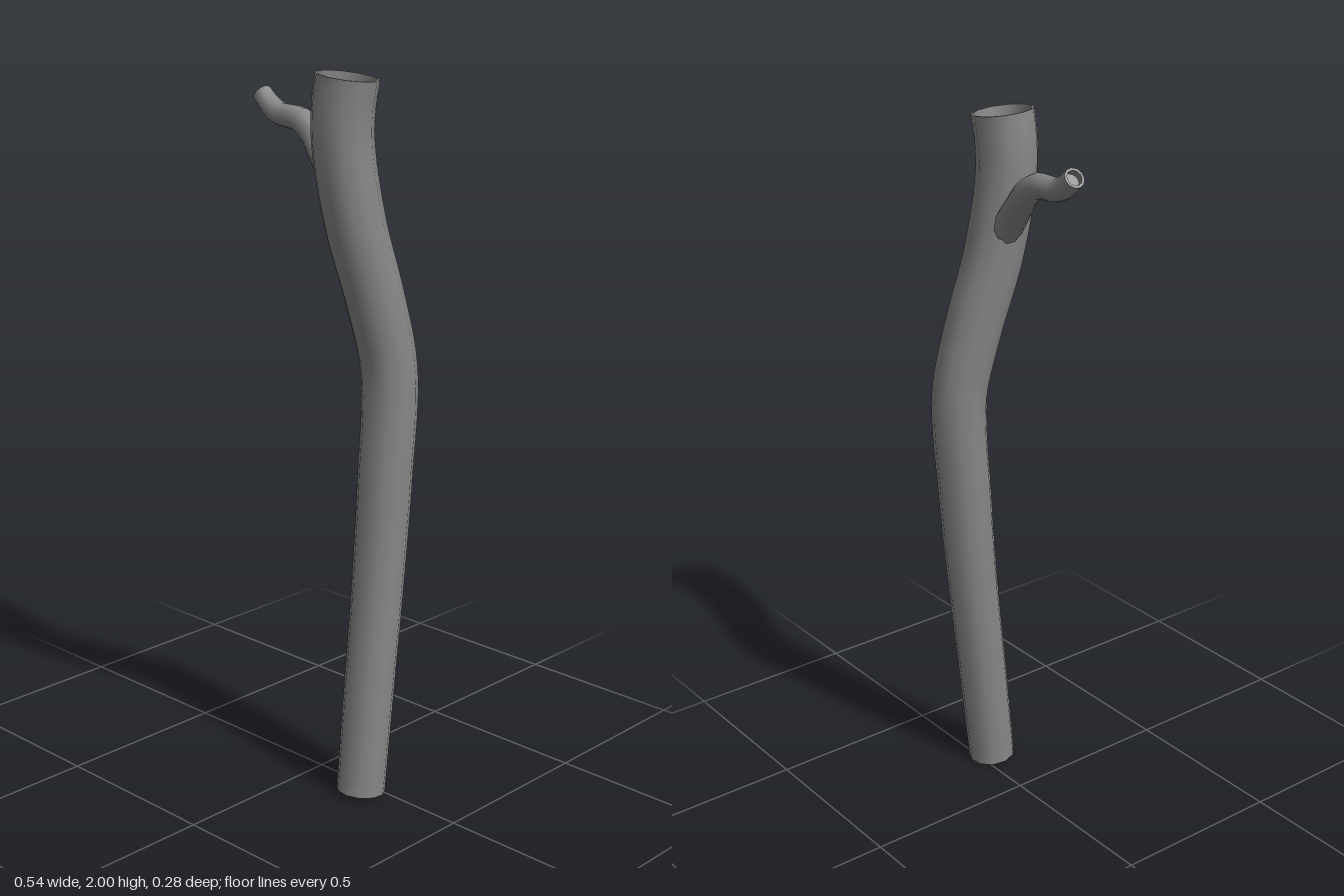
import * as THREE from 'three';
import { toCreasedNormals } from 'three/addons/utils/BufferGeometryUtils.js';

const SIDES = 11;
const material = new THREE.MeshStandardMaterial({ color: 0x878787, side: THREE.DoubleSide });

// Hollow tapering tube along a smooth path; radii are given at each path point.
// A recessed disc closes the bore at ring number plugRing.
function hollowTube(name, path, radii, wall, steps, plugRing) {
  const curve = new THREE.CatmullRomCurve3(path.map(p => new THREE.Vector3(...p)), false, 'centripetal');
  const { tangents, normals, binormals } = curve.computeFrenetFrames(steps, false);
  const positions = [], index = [];

  function radiusAt(t) {
    const f = t * (radii.length - 1);
    const k = Math.min(Math.floor(f), radii.length - 2);
    return THREE.MathUtils.lerp(radii[k], radii[k + 1], f - k);
  }

  function addRing(i, inset) {
    const t = curve.getUtoTmapping(i / steps);
    const centre = curve.getPoint(t);
    const r = radiusAt(t) - inset;
    for (let s = 0; s < SIDES; s++) {
      const a = (s / SIDES) * Math.PI * 2;
      const p = centre.clone()
        .addScaledVector(normals[i], Math.cos(a) * r)
        .addScaledVector(binormals[i], Math.sin(a) * r);
      positions.push(p.x, p.y, p.z);
    }
  }

  // Outside upward, then inside back down, closing over both rims.
  for (let i = 0; i <= steps; i++) addRing(i, 0);
  for (let i = steps; i >= 0; i--) addRing(i, wall);
  const rings = 2 * (steps + 1);
  for (let i = 0; i < rings; i++) {
    const lower = i * SIDES, upper = ((i + 1) % rings) * SIDES;
    for (let s = 0; s < SIDES; s++) {
      const n = (s + 1) % SIDES;
      index.push(lower + s, lower + n, upper + n, lower + s, upper + n, upper + s);
    }
  }

  const geometry = new THREE.BufferGeometry();
  geometry.setAttribute('position', new THREE.Float32BufferAttribute(positions, 3));
  geometry.setIndex(index);
  const shell = new THREE.Mesh(toCreasedNormals(geometry, THREE.MathUtils.degToRad(55)), material);
  shell.name = name + 'Shell';

  const t = curve.getUtoTmapping(plugRing / steps);
  const plug = new THREE.Mesh(new THREE.CircleGeometry(radiusAt(t) - wall / 2, SIDES), material);
  plug.name = name + 'Plug';
  plug.position.copy(curve.getPoint(t));
  plug.quaternion.setFromRotationMatrix(
    new THREE.Matrix4().makeBasis(normals[plugRing], binormals[plugRing], tangents[plugRing]));

  const part = new THREE.Group();
  part.name = name;
  part.add(shell, plug);
  return part;
}

export function createModel() {
  const group = new THREE.Group();
  group.name = 'hollowTrunk';

  // Trunk: leans back, then bends forward, with a slanted top opening
  group.add(hollowTube('trunk', [
    [0.192, 0.007, 0.04], [0.192, 0.3, 0.01], [0.191, 0.6, -0.023], [0.191, 0.9, -0.048],
    [0.19, 1.2, -0.062], [0.172, 1.4, -0.024], [0.148, 1.6, 0.027],
    [0.131, 1.8, 0.056], [0.132, 1.9, 0.059], [0.142, 1.986, 0.054],
  ], [0.069, 0.071, 0.073, 0.076, 0.078, 0.08, 0.082, 0.083, 0.084, 0.085], 0.006, 60, 1));

  // Side branch: starts inside the trunk and wavers up to the right
  group.add(hollowTube('branch', [
    [0.115, 1.66, 0.028], [0.06, 1.72, 0.02], [0, 1.776, 0], [-0.05, 1.82, -0.016],
    [-0.095, 1.848, -0.018], [-0.18, 1.858, -0.022], [-0.22, 1.878, -0.026], [-0.253, 1.905, -0.029],
  ], [0.045, 0.041, 0.038, 0.036, 0.034, 0.031, 0.029, 0.028], 0.007, 24, 23));

  return group;
}
